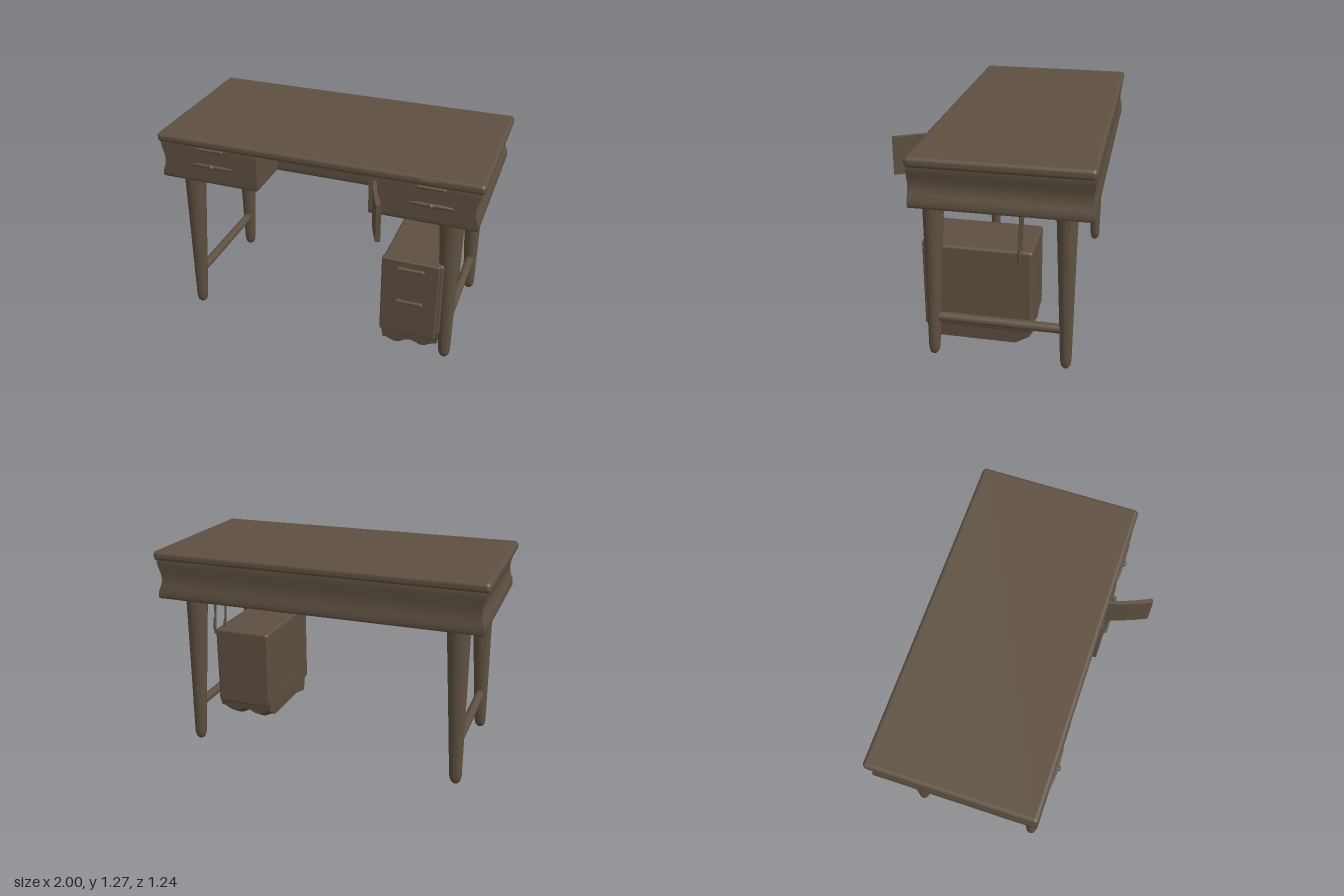
import * as THREE from 'three';
import { toCreasedNormals } from 'three/addons/utils/BufferGeometryUtils.js';
import { RoundedBoxGeometry } from 'three/addons/geometries/RoundedBoxGeometry.js';

const wood = new THREE.MeshStandardMaterial({ color: 0x5e5041 });
wood.name = 'dark wood';

function add(parent, name, geometry, x = 0, y = 0, z = 0) {
  const mesh = new THREE.Mesh(geometry, wood);
  mesh.name = name;
  mesh.position.set(x, y, z);
  parent.add(mesh);
  return mesh;
}

// Box given by its limits, with softened edges
function block(parent, name, [x0, x1], [y0, y1], [z0, z1], r = 0.01) {
  const g = new RoundedBoxGeometry(x1 - x0, y1 - y0, z1 - z0, 3, r);
  return add(parent, name, g, (x0 + x1) / 2, (y0 + y1) / 2, (z0 + z1) / 2);
}

// Moves every vertex by a rule
function bend(geometry, rule) {
  const p = geometry.attributes.position;
  const v = new THREE.Vector3();
  for (let i = 0; i < p.count; i++) {
    rule(v.fromBufferAttribute(p, i));
    p.setXYZ(i, v.x, v.y, v.z);
  }
  return toCreasedNormals(geometry, 0.7);
}

// U-shaped drawer frame around the kneehole, with gently hollowed walls
function frameGeometry() {
  const outline = [[-0.96, -0.365], [-0.355, -0.365], [-0.355, -0.06], [0.355, -0.06],
    [0.355, -0.365], [0.96, -0.365], [0.96, 0.60], [-0.96, 0.60]];
  const shape = new THREE.Shape(outline.map(([x, y]) => new THREE.Vector2(x, y)));
  const g = new THREE.ExtrudeGeometry(shape, {
    depth: 0.225, steps: 10, bevelEnabled: true,
    bevelThickness: 0.012, bevelSize: 0.012, bevelOffset: -0.004, bevelSegments: 3,
  });
  g.rotateX(-Math.PI / 2);
  return bend(g, (v) => {
    const flare = 0.010 * Math.cos((v.y / 0.225) * Math.PI * 2) + (v.y < 0.06 ? 0.004 : 0);
    if (Math.abs(v.x) > 0.9) v.x += Math.sign(v.x) * flare;
    if (v.z < -0.5) v.z -= flare * 0.5;
  });
}

// Tapered leg with a rounded foot; its outer edge stays upright
function legGeometry(sx, sz) {
  const profile = [[0, 0.005], [0.018, 0.008], [0.030, 0.022], [0.037, 0.05], [0.039, 0.10],
    [0.050, 0.45], [0.060, 0.75], [0.067, 0.95], [0.069, 1.02]];
  const g = new THREE.LatheGeometry(profile.map(([r, y]) => new THREE.Vector2(r, y)), 24);
  return bend(g, (v) => {
    v.x -= sx * 0.032 * v.y;
    v.z = v.z * 0.88 - sz * 0.02 * v.y;
  });
}

// Bar handle on two short posts, pointing to the front
function barHandle(parent, name, width, x, y, z, r = 0.011) {
  const h = new THREE.Group();
  h.name = name;
  const bar = add(h, 'handleBar', new THREE.CapsuleGeometry(r, width - 2 * r, 5, 12), 0, 0, 0.02);
  bar.rotation.z = Math.PI / 2;
  for (const s of [-1, 1]) {
    const post = add(h, 'handlePost', new THREE.CylinderGeometry(r * 0.8, r * 0.8, 0.03, 10), s * width * 0.4, 0, 0.005);
    post.rotation.x = Math.PI / 2;
  }
  h.position.set(x, y, z);
  parent.add(h);
}

export function createModel() {
  const desk = new THREE.Group();
  desk.name = 'desk';

  // Tabletop and drawer frame
  block(desk, 'tabletop', [-1, 1], [1.217, 1.277], [-0.62, 0.38], 0.024);
  add(desk, 'drawerFrame', frameGeometry(), 0, 0.997, 0);

  // Drawer fronts with a lip handle and a winged knob
  for (const s of [-1, 1]) {
    const x = s < 0 ? -0.645 : 0.705;
    const drawer = new THREE.Group();
    drawer.name = s < 0 ? 'rightDrawerFront' : 'leftDrawerFront';
    desk.add(drawer);
    const lip = add(drawer, 'lipHandle', new THREE.CapsuleGeometry(0.01, 0.15, 4, 10), x, 1.214, 0.379);
    lip.rotation.z = Math.PI / 2;
    const wing = add(drawer, 'knobWing', new THREE.SphereGeometry(1, 20, 10), x, 1.105, 0.373);
    wing.scale.set(0.14, 0.014, 0.014);
    const knob = add(drawer, 'knob', new THREE.SphereGeometry(0.017, 14, 10), x + 0.005, 1.108, 0.387);
    knob.scale.z = 0.9;
  }
  const catchBar = add(desk, 'tableEdgeCatch', new THREE.CapsuleGeometry(0.006, 0.08, 4, 8), 0.68, 1.254, 0.379);
  catchBar.rotation.z = Math.PI / 2;

  // Swung-out panel in the kneehole, thicker at its free end
  const panel = bend(new THREE.BoxGeometry(0.02, 0.25, 0.60, 1, 4, 12), (v) => {
    const t = v.z / 0.6 + 0.5;
    v.x *= 0.5 + t * 0.9;
    v.x += 0.008 * Math.sin(t * Math.PI * 2);
    if (v.y < 0) v.y -= 0.012 * t - 0.012;
    else v.y -= 0.02 * t;
  });
  add(desk, 'swungPanel', panel, 0.372, 1.09, 0.338).rotation.y = 0.37;

  // Legs and side stretchers
  for (const sx of [-1, 1]) {
    for (const sz of [-1, 1]) {
      add(desk, sz > 0 ? 'frontLeg' : 'backLeg', legGeometry(sx, sz), sx * 0.846, 0, sz > 0 ? 0.30 : -0.475);
    }
    const bar = add(desk, 'sideStretcher', new THREE.CylinderGeometry(0.028, 0.028, 0.75, 16), sx * 0.838, 0.253, -0.09);
    bar.rotation.x = Math.PI / 2;
  }

  // Small cabinet under the left side
  const cabinet = new THREE.Group();
  cabinet.name = 'cabinet';
  desk.add(cabinet);
  block(cabinet, 'cabinetBody', [0.44, 0.81], [0.18, 0.695], [-0.27, 0.345], 0.018);
  block(cabinet, 'cabinetFront', [0.437, 0.79], [0.16, 0.697], [0.325, 0.366], 0.01);
  const base = bend(new THREE.BoxGeometry(0.37, 0.15, 0.60, 16, 4, 20), (v) => {
    const low = 0.5 - v.y / 0.15;
    const u = v.x / 0.37, w = v.z / 0.6;
    v.y += low * (0.015 * Math.cos(u * 13) - 0.035 * Math.max(0, w - 0.25) * 4 * (0.5 - u) + 0.005);
    if (w < -0.35) v.y += low * (-0.35 - w) * 0.35;
    v.x *= 1 - 0.05 * low;
    v.z *= 1 - 0.04 * low;
  });
  add(cabinet, 'wavyBase', base, 0.622, 0.155, 0.03);
  for (const y of [0.65, 0.415]) barHandle(cabinet, 'cabinetHandle', 0.17, 0.62, y, 0.362);

  // Thin hanging rods behind the cabinet's top
  for (const x of [0.765, 0.84]) {
    const path = new THREE.QuadraticBezierCurve3(
      new THREE.Vector3(x - 0.01, 1.0, -0.205),
      new THREE.Vector3(x - 0.008, 0.85, -0.205),
      new THREE.Vector3(x + 0.008, 0.68, -0.202));
    add(desk, 'hangingRod', new THREE.TubeGeometry(path, 10, 0.007, 8));
    const tip = add(desk, 'rodTip', new THREE.SphereGeometry(1, 10, 12), x + 0.008, 0.69, -0.203);
    tip.scale.set(0.01, 0.06, 0.011);
  }
  return desk;
}
